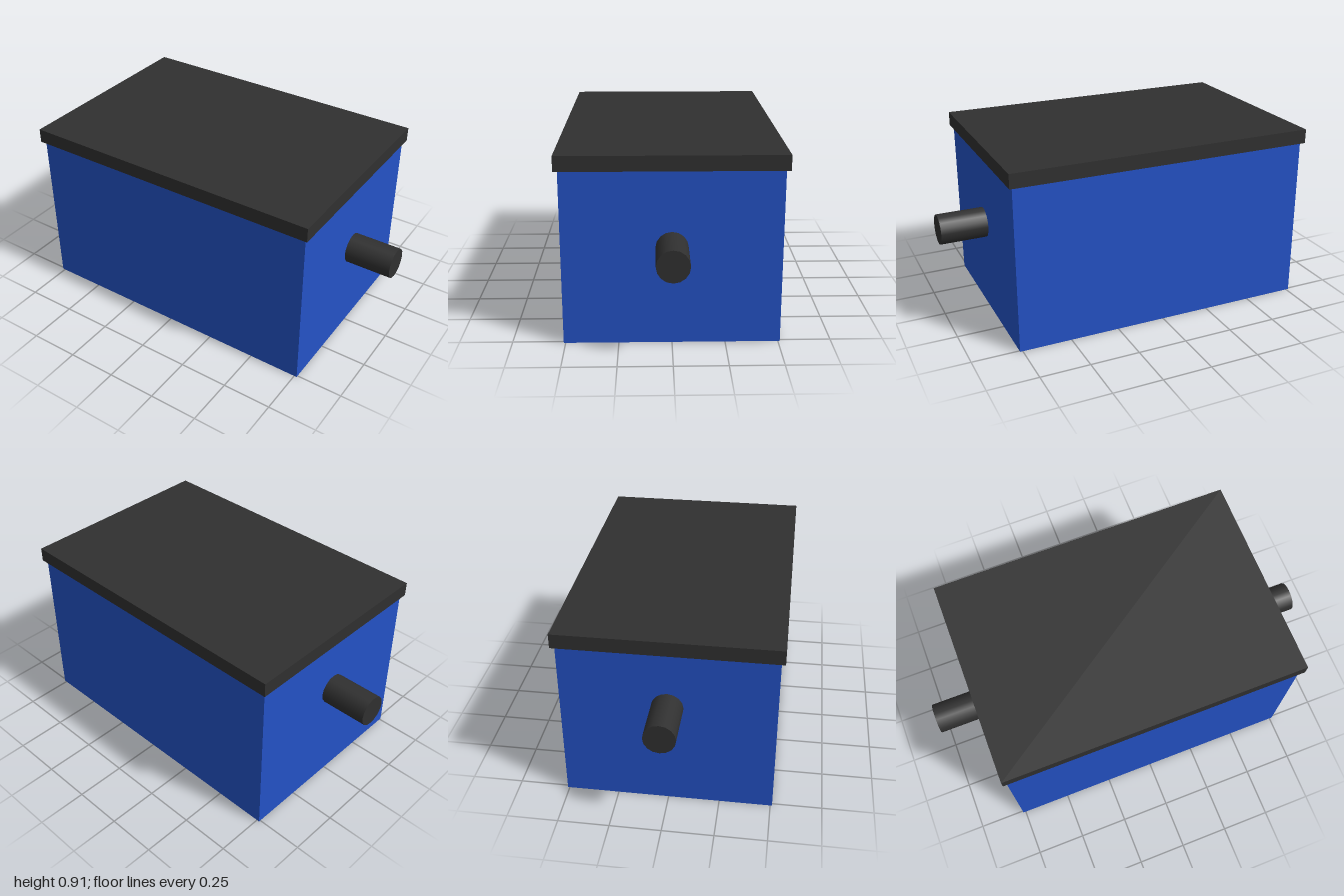
import * as THREE from 'three';

export function createModel() {
  const blue = new THREE.MeshStandardMaterial({ color: 0x2452c6 });
  blue.name = 'tank blue';
  const dark = new THREE.MeshStandardMaterial({ color: 0x303030 });
  dark.name = 'dark grey';

  const group = new THREE.Group();
  group.name = 'tank';
  const add = (name, geometry, material, x, y) => {
    const mesh = new THREE.Mesh(geometry, material);
    mesh.name = name;
    mesh.position.set(x, y, 0);
    group.add(mesh);
  };

  // Tank body and overhanging lid
  const bodyHeight = 0.838, lidHeight = 0.072;
  add('body', new THREE.BoxGeometry(1.527, bodyHeight, 1.018), blue, 0, bodyHeight / 2);
  add('lid', new THREE.BoxGeometry(1.56, lidHeight, 1.055), dark, 0, bodyHeight + lidHeight / 2);

  // Side pipes: the one on the right sits a little higher
  const inner = 0.75, length = 1 - inner;
  for (const [name, side, y] of [['rightPipe', -1, 0.547], ['leftPipe', 1, 0.474]]) {
    const pipe = new THREE.CylinderGeometry(0.076, 0.076, length, 16).rotateZ(Math.PI / 2);
    add(name, pipe, dark, side * (inner + length / 2), y);
  }
  return group;
}
